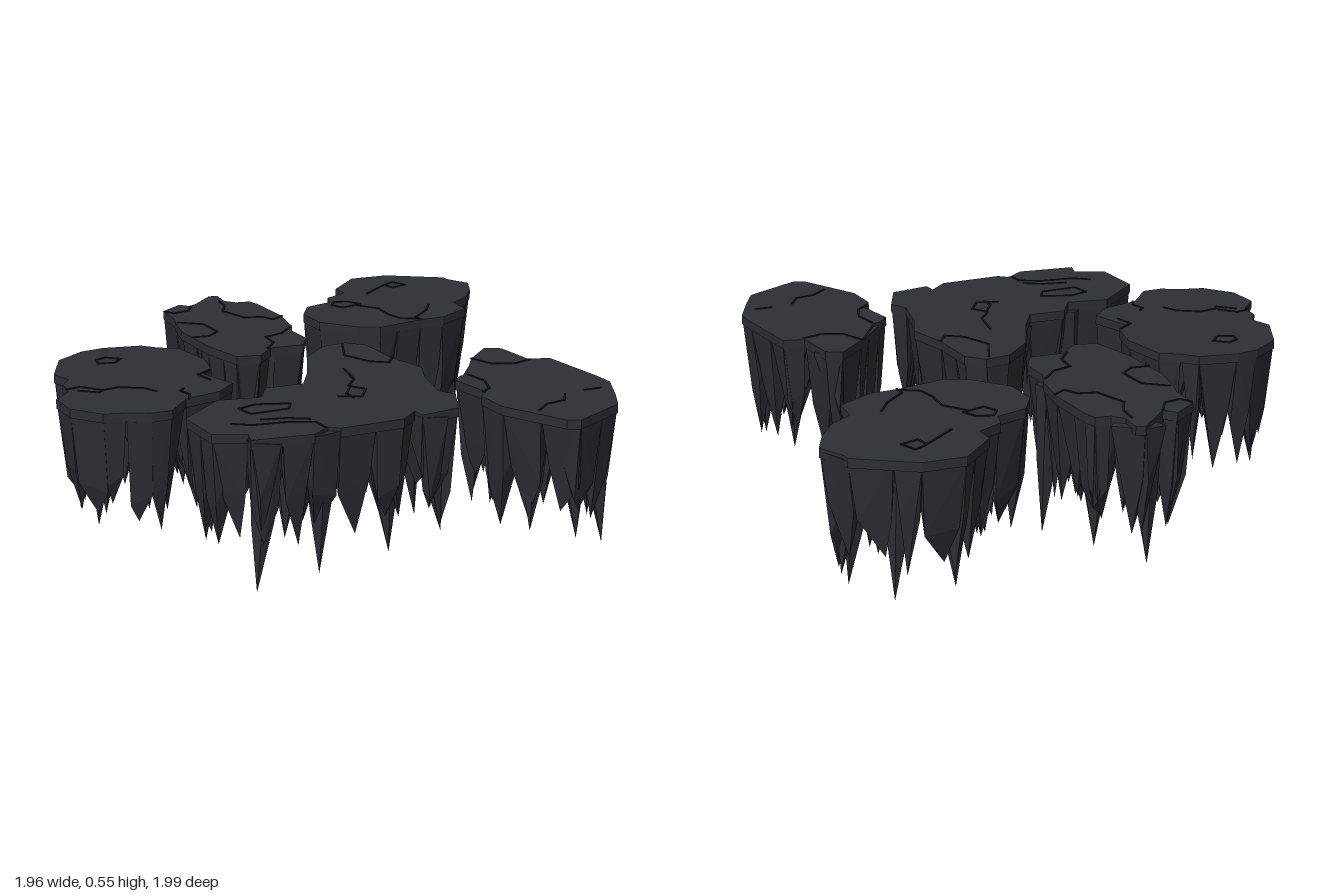
import * as THREE from 'three';
import { mergeGeometries } from 'three/addons/utils/BufferGeometryUtils.js';
import { ConvexGeometry } from 'three/addons/geometries/ConvexGeometry.js';

const TOP = 0.55;
const mat = (name, color) => {
  const m = new THREE.MeshStandardMaterial({ color });
  m.name = name;
  return m;
};
const stoneTop = mat('stone top', 0x2e2e36);
const stoneSide = mat('stone side', 0x2d2d34);
const crackDark = mat('crack', 0x17171b);

// Small seeded random source
let seed = 11;
const rand = (a, b) => {
  seed = (seed * 16807) % 2147483647;
  return a + (b - a) * (seed / 2147483647);
};
const V = (x, y, z) => new THREE.Vector3(x, y, z);
const toPoints = flat => {
  const out = [];
  for (let i = 0; i < flat.length; i += 2) out.push(V(flat[i], 0, flat[i + 1]));
  return out;
};
const at = (p, y) => V(p.x, y, p.z);

// Flat slab following the island outline
function slab(points) {
  const shape = new THREE.Shape(points.map(p => new THREE.Vector2(p.x, -p.z)));
  const geo = new THREE.ExtrudeGeometry(shape, { depth: 0.03, bevelEnabled: false });
  return geo.rotateX(-Math.PI / 2).translate(0, TOP - 0.03, 0);
}

// Rim edges: short ones merged, long ones halved
function rimEdges(points) {
  const kept = points.filter((p, i) => i === 0 || p.distanceTo(points[i - 1]) > 0.045);
  const edges = [];
  kept.forEach((a, i) => {
    const b = kept[(i + 1) % kept.length];
    if (a.distanceTo(b) > 0.17) {
      const m = a.clone().lerp(b, rand(0.4, 0.6));
      edges.push([a, m], [m, b]);
    } else edges.push([a, b]);
  });
  return edges;
}

// Faceted wall shard hanging from one rim edge
function rimShard(a, b) {
  const along = b.clone().sub(a);
  const inward = V(-along.z, 0, along.x).normalize();
  const p = (t, d, y) => at(a.clone().addScaledVector(along, t).addScaledVector(inward, d), y);
  const depth = rand(0.09, 0.13), mid = rand(0.27, 0.38), tip = rand(0.13, 0.24);
  return new ConvexGeometry([
    p(0, 0.002, TOP - 0.01), p(1, 0.002, TOP - 0.01),
    p(0.9, depth, TOP - 0.02), p(0.1, depth, TOP - 0.02),
    p(rand(0.04, 0.2), rand(0.015, 0.035), mid),
    p(rand(0.8, 0.96), rand(0.015, 0.035), mid + rand(-0.06, 0.06)),
    p(0.5, depth * 0.85, mid + 0.05),
    p(rand(0.25, 0.75), rand(0.035, 0.06), tip),
  ]);
}

// Free hanging spike with an irregular five-sided section
function spike(x, y, z, center, radius, pull) {
  const base = V(x, 0, z).lerp(at(center, 0), pull);
  const pts = [V(x, y, z)];
  const turn = rand(0, 6);
  for (let i = 0; i < 5; i++) {
    const ang = turn + i * Math.PI * 0.4;
    const r = radius * rand(0.8, 1.1);
    const dir = V(Math.cos(ang), 0, Math.sin(ang));
    pts.push(at(base.clone().addScaledVector(dir, r), TOP - 0.03));
    const low = base.clone().lerp(V(x, 0, z), 0.5).addScaledVector(dir, r * 0.62);
    pts.push(at(low, y + (TOP - y) * rand(0.38, 0.52)));
  }
  return new ConvexGeometry(pts);
}

// Thin dark strips along a polyline on the top face
function crack(flat) {
  const pts = toPoints(flat);
  return pts.slice(1).map((b, i) => {
    const a = pts[i], d = b.clone().sub(a);
    const geo = new THREE.BoxGeometry(d.length() + 0.004, 0.004, 0.007);
    geo.rotateY(-Math.atan2(d.z, d.x));
    return geo.translate((a.x + b.x) / 2, TOP + 0.001, (a.z + b.z) / 2);
  });
}

function island(name, outline, cracks, tips) {
  const group = new THREE.Group();
  group.name = name;
  const add = (part, geo, material) => {
    const mesh = new THREE.Mesh(geo, material);
    mesh.name = part;
    group.add(mesh);
  };
  const points = toPoints(outline);
  const center = points.reduce((s, p) => s.add(p), V(0, 0, 0)).divideScalar(points.length);
  add('topSlab', slab(points), [stoneTop, stoneSide]);

  const edges = rimEdges(points);
  add('rimShards', mergeGeometries(edges.map(([a, b]) => rimShard(a, b))), stoneSide);

  // Shorter spikes filling the underside
  const inner = edges.map(([a, b]) => {
    const p = a.clone().add(b).multiplyScalar(0.5).lerp(center, rand(0.35, 0.6));
    return spike(p.x, rand(0.15, 0.34), p.z, center, 0.07, 0.1);
  });
  add('innerSpikes', mergeGeometries(inner), stoneSide);
  add('longSpikes', mergeGeometries(tips.map(([x, z, y]) => spike(x, y, z, center, 0.065, 0.17))), stoneSide);
  add('topCracks', mergeGeometries(cracks.flatMap(crack)), crackDark);
  return group;
}

export function createModel() {
  const model = new THREE.Group();
  model.name = 'floatingRocks';

  model.add(island('backMiddleRock',
    [.02, -.99, .05, -.98, .04, -.9, .07, -.86, .12, -.85, .13, -.8, .13, -.61, .1, -.46, .07, -.4, .07, -.29, .02, -.21,
      -.1, -.22, -.17, -.15, -.25, -.17, -.28, -.34, -.28, -.56, -.25, -.68, -.23, -.74, -.22, -.86, -.13, -.92, -.1, -.88],
    [[.02, -.9, .01, -.83, -.03, -.76, 0, -.64, .06, -.62, .08, -.57, .13, -.6],
      [-.22, -.85, -.2, -.81, -.14, -.82, -.1, -.88],
      [-.24, -.68, -.17, -.62, -.17, -.5, -.22, -.46, -.28, -.47],
      [.08, -.44, .02, -.38, -.05, -.36, -.06, -.28, -.11, -.22]],
    [[.06, -.38, 0], [-.25, -.38, .03], [-.21, -.58, .03], [.06, -.74, .08], [-.03, -.92, .07], [-.12, -.22, .12]]));

  model.add(island('backLeftRock',
    [.62, -1, .76, -.99, .83, -.94, .94, -.86, .94, -.83, .98, -.74, .93, -.64, .86, -.55, .78, -.5, .77, -.4, .64, -.33,
      .55, -.33, .37, -.3, .3, -.34, .21, -.46, .21, -.59, .27, -.68, .38, -.71, .4, -.77, .49, -.81, .49, -.88],
    [[.68, -.85, .73, -.88, .75, -.82, .69, -.8, .68, -.85, .64, -.82, .56, -.76],
      [.39, -.7, .44, -.68, .46, -.63, .38, -.61, .36, -.66, .39, -.7],
      [.44, -.62, .49, -.54, .48, -.45, .49, -.38, .55, -.34],
      [.68, -.51, .63, -.44, .55, -.37, .55, -.33]],
    [[.83, -.58, .03], [.6, -.87, .09], [.91, -.72, .13], [.45, -.4, .13], [.8, -.87, .08], [.3, -.5, .14], [.68, -.42, .13]]));

  model.add(island('rightRock',
    [-.61, -.48, -.48, -.45, -.44, -.4, -.38, -.36, -.36, -.19, -.39, -.07, -.44, -.03, -.4, .12, -.48, .19, -.61, .22, -.7, .32,
      -.77, .32, -.84, .28, -.91, .26, -.98, .16, -.98, .04, -.91, -.03, -.9, -.11, -.86, -.16, -.88, -.24, -.8, -.4, -.69, -.47],
    [[-.69, -.34, -.65, -.36, -.61, -.32, -.65, -.28, -.7, -.3, -.69, -.34],
      [-.91, -.05, -.86, -.06, -.83, -.02, -.81, .01, -.75, 0, -.68, .05, -.66, .1],
      [-.88, -.02, -.83, .03, -.81, .01], [-.57, .11, -.59, .13, -.58, .18, -.6, .22],
      [-.4, -.06, -.46, -.02, -.45, .05]],
    [[-.87, .1, .13], [-.72, .26, .14], [-.48, 0, .1], [-.72, -.4, .13], [-.44, -.25, .14]]));

  model.add(island('frontMiddleRock',
    [.16, -.17, .21, -.11, .21, .08, .24, .23, .19, .34, .15, .5, .18, .56, .11, .7, -.03, .72, -.03, .67, -.1, .73, -.32, .73,
      -.35, .7, -.42, .75, -.62, .72, -.6, .66, -.7, .61, -.7, .42, -.53, .28, -.39, .31, -.33, .22, -.2, .23, -.13, .12, -.04, -.06, .07, -.16],
    [[-.51, .4, -.44, .38, -.34, .42, -.37, .47, -.5, .47, -.51, .4],
      [-.5, .54, -.42, .56, -.36, .6], [-.6, .54, -.55, .58, -.43, .6, -.36, .64, -.36, .7],
      [.14, -.15, .08, -.02, .12, .09, .17, .13, .21, .08],
      [-.13, .45, -.13, .4, -.08, .33, -.05, .38, -.1, .45, -.17, .42], [0, .13, -.03, .26, -.08, .32]],
    [[-.58, .67, .04], [.2, .26, .05], [-.38, .7, .08], [-.12, .67, .1], [.08, .65, .13], [.13, 0, .08], [-.24, .3, .13]]));

  model.add(island('frontLeftRock',
    [.55, .11, .6, .14, .61, .3, .68, .32, .7, .58, .7, .66, .63, .8, .58, .89, .38, .99, .34, .97, .24, .75, .24, .62,
      .28, .58, .26, .42, .3, .38, .33, .37, .44, .21],
    [[.44, .21, .47, .3, .54, .33, .61, .31], [.33, .38, .34, .47, .31, .55, .27, .58],
      [.49, .72, .45, .78, .38, .79, .32, .84], [.57, .71, .63, .71]],
    [[.56, .85, .08], [.62, .67, .11], [.43, .9, .13], [.32, .8, .14], [.61, .42, .13], [.35, .5, .14]]));

  return model;
}
